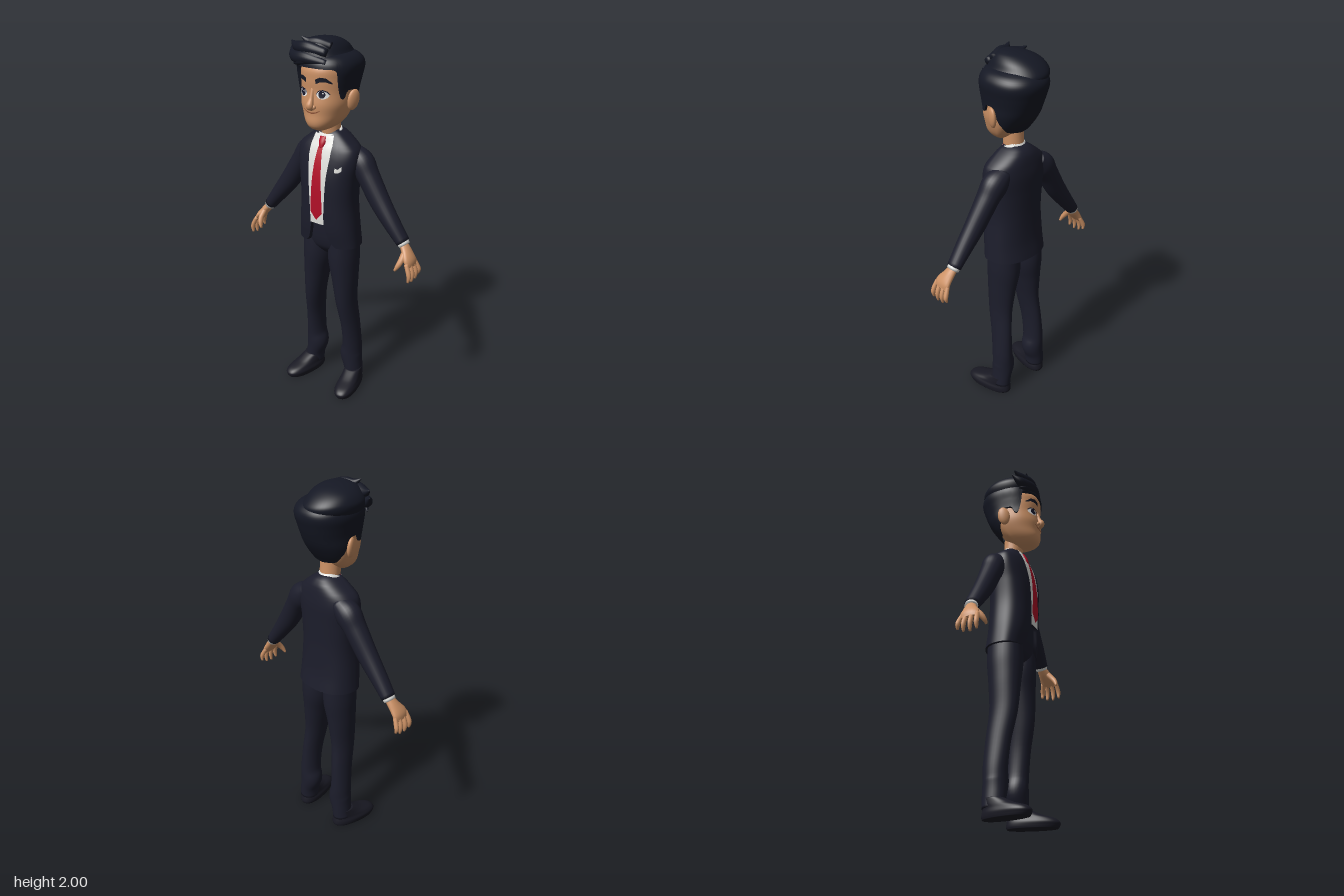
import * as THREE from 'three';

const mat = (name, color) => Object.assign(new THREE.MeshStandardMaterial({ color }), { name });
const M = {
  suit: mat('navy suit', 0x1c1d2b), hair: mat('dark hair', 0x151824), shoe: mat('dark leather', 0x191923),
  skin: mat('skin', 0xcd9266), shirt: mat('white cotton', 0xe0e0dc), tie: mat('red silk', 0xb30f28),
  eye: mat('eye white', 0xf0f0ee), iris: mat('dark iris', 0x17182c), lip: mat('lip line', 0x8f5539),
};

// Joins rows of points into a smooth skin; closed rows wrap round, caps fill the ends
function skin(rows, closed, caps = [false, false]) {
  const n = rows[0].length, pos = rows.flat(2), idx = [];
  for (let j = 0; j < rows.length - 1; j++)
    for (let i = 0; i < (closed ? n : n - 1); i++) {
      const a = j * n + i, b = j * n + (i + 1) % n;
      idx.push(a, a + n, b, b, a + n, b + n);
    }
  caps.forEach((on, k) => {
    if (!on) return;
    const row = rows[k ? rows.length - 1 : 0], c = pos.length / 3, base = k ? (rows.length - 1) * n : 0;
    for (let q = 0; q < 3; q++) pos.push(row.reduce((s, p) => s + p[q], 0) / n);
    for (let i = 0; i < n; i++) {
      const a = base + i, b = base + (i + 1) % n;
      idx.push(...(k ? [a, c, b] : [a, b, c]));
    }
  });
  const g = new THREE.BufferGeometry();
  g.setAttribute('position', new THREE.Float32BufferAttribute(pos, 3));
  g.setIndex(idx);
  g.computeVertexNormals();
  return g;
}

function add(parent, name, geometry, material) {
  const m = new THREE.Mesh(geometry, material);
  m.name = name;
  parent.add(m);
  return m;
}

// Upright body from rings [y, halfWidth, zFront, zBack, zWidest, xCentre]
function body(rings, e) {
  const R = rings.map(r => [...r, 0, 0].slice(0, 6));
  const slope = (i, k) => {
    const a = R[Math.max(i - 1, 0)], b = R[Math.min(i + 1, R.length - 1)];
    return (b[k] - a[k]) / (b[0] - a[0]);
  };
  const at = y => {
    let i = 0;
    while (i < R.length - 2 && y > R[i + 1][0]) i++;
    const h = R[i + 1][0] - R[i][0], t = Math.min(1, Math.max(0, (y - R[i][0]) / h)), t2 = t * t, t3 = t2 * t;
    return [1, 2, 3, 4, 5].map(k => (2 * t3 - 3 * t2 + 1) * R[i][k] + (t3 - 2 * t2 + t) * h * slope(i, k)
      + (3 * t2 - 2 * t3) * R[i + 1][k] + (t3 - t2) * h * slope(i + 1, k));
  };
  const pw = v => Math.sign(v) * Math.abs(v) ** e;
  const point = (a, y, s = 1) => {
    const [w, zf, zb, zc, cx] = at(y), v = pw(Math.sin(a));
    return [cx + s * w * pw(Math.cos(a)), y, zc + s * v * (v > 0 ? zf - zc : zc - zb)];
  };
  const frontZ = (x, y) => {
    const [w, zf, , zc, cx] = at(y), u = Math.min(1, Math.abs((x - cx) / w));
    return zc + (zf - zc) * (1 - u ** (2 / e)) ** (e / 2);
  };
  // hem(angle) gives an uneven lower edge with a turned-in lip
  const geometry = (hem, n = 48, m = 36) => {
    const ang = Array.from({ length: n }, (_, i) => i / n * Math.PI * 2), y0 = R[0][0], y1 = R[R.length - 1][0];
    const rows = [];
    if (hem) rows.push(ang.map(a => point(a, hem(a), 0.86)), ang.map(a => point(a, hem(a))));
    for (let j = 0; j <= m; j++)
      rows.push(ang.map(a => { const b = hem ? hem(a) : y0; return point(a, b + (y1 - b) * j / m); }));
    return skin(rows, true, [!hem, true]);
  };
  return { geometry, frontZ };
}

// Tapered limb through points [x, y, z, radius, radiusTowardsZ]
function limb(points, n = 16, m = 24) {
  const P = new THREE.CatmullRomCurve3(points.map(p => new THREE.Vector3(p[0], p[1], p[2])), false, 'catmullrom');
  const Q = new THREE.CatmullRomCurve3(points.map(p => new THREE.Vector3(p[3], p[4] ?? p[3], 0)), false, 'catmullrom');
  const rows = [];
  for (let j = 0; j <= m; j++) {
    const c = P.getPoint(j / m), r = Q.getPoint(j / m), t = P.getTangent(j / m);
    const nz = new THREE.Vector3(0, 0, 1).addScaledVector(t, -t.z).normalize(), b = t.clone().cross(nz);
    rows.push(Array.from({ length: n }, (_, i) => {
      const a = i / n * Math.PI * 2;
      return c.clone().addScaledVector(b, Math.cos(a) * r.x).addScaledVector(nz, Math.sin(a) * r.y).toArray();
    }));
  }
  return skin(rows, true, [true, true]);
}

// Thin plate between two outlines [x, y], laid over the front of a body and facing forward
function patch(surface, A, B, off, m = 8) {
  const area = THREE.ShapeUtils.area([...A, ...[...B].reverse()].map(p => new THREE.Vector2(p[0], p[1])));
  if (area < 0) [A, B] = [B, A];
  const rows = [], steps = 4;
  for (let i = 0; i < A.length - 1; i++)
    for (let k = i ? 1 : 0; k <= steps; k++) {
      const mix = (L, q) => L[i][q] + (L[i + 1][q] - L[i][q]) * k / steps;
      rows.push(Array.from({ length: m + 1 }, (_, j) => {
        const f = j / m, x = mix(A, 0) * (1 - f) + mix(B, 0) * f, y = mix(A, 1) * (1 - f) + mix(B, 1) * f;
        return [x, y, surface.frontZ(x, y) + off];
      }));
    }
  return skin(rows, false);
}
const disc = (s, x, y, rx, ry, off) => {
  const arc = k => Array.from({ length: 9 }, (_, i) =>
    [x - rx * Math.cos(i / 8 * Math.PI), y + k * ry * Math.sin(i / 8 * Math.PI)]);
  return patch(s, arc(1), arc(-1), off);
};
const band = (s, rows, off) => patch(s, rows.map(r => [-r[1], r[0]]), rows.map(r => [r[1], r[0]]), off);
const table = (T, v) => {
  let i = 0;
  while (i < T.length - 2 && v > T[i + 1][0]) i++;
  return THREE.MathUtils.mapLinear(Math.min(v, T[T.length - 1][0]), T[i][0], T[i + 1][0], T[i][1], T[i + 1][1]);
};

export function createModel() {
  const g = new THREE.Group();
  g.name = 'man in suit';

  // Jacket with cutaway front
  const jacket = body([[0.9, .18, .095, -.14], [1, .172, .113, -.126], [1.15, .16, .118, -.12], [1.28, .168, .114, -.122],
    [1.38, .182, .097, -.124], [1.44, .17, .078, -.118], [1.475, .13, .06, -.112], [1.505, .09, .045, -.1], [1.53, .05, .02, -.07]], 0.85);
  const hem = a => Math.sin(a) <= 0 ? 0.9
    : table([[0, 1.04], [.04, 1.04], [.055, .97], [.07, .925], [.095, .9], [1, .9]], .175 * Math.abs(Math.cos(a)) ** 0.85);
  add(g, 'jacket', jacket.geometry(hem, 96), M.suit);
  add(g, 'trouserSeat', body([[.81, .02, 0, -.03], [.84, .07, .04, -.07], [.89, .15, .076, -.114],
    [1, .155, .092, -.11], [1.1, .14, .09, -.1]], 0.9).geometry(), M.suit);

  // Shirt front, tie, collar and pocket square
  add(g, 'shirtFront', band(jacket, [[1.035, .042], [1.1, .043], [1.2, .049], [1.3, .056], [1.4, .066], [1.46, .066], [1.505, .055]], .004), M.shirt);
  add(g, 'tie', band(jacket, [[1.06, .003], [1.1, .037], [1.2, .033], [1.35, .023], [1.45, .013]], .008), M.tie);
  add(g, 'tieKnot', limb([[0, 1.44, .077, .012, .01], [0, 1.465, .067, .02, .014], [0, 1.495, .053, .022, .012]]), M.tie);
  add(g, 'shirtCollar', limb([[0, 1.475, -.02, .076, .07], [0, 1.525, 0, .061, .058]], 32, 6), M.shirt);
  add(g, 'pocketSquare', patch(jacket, [[.098, 1.335], [.1, 1.358], [.115, 1.352], [.132, 1.368]],
    [[.105, 1.332], [.118, 1.334], [.124, 1.336], [.134, 1.345]], .009), M.shirt);

  // Head and neck
  const head = body([[1.542, .03, .11, .03, .07], [1.556, .06, .138, .01, .05], [1.585, .09, .153, -.03, .02], [1.63, .114, .153, -.06],
    [1.68, .128, .156, -.09], [1.74, .129, .149, -.12], [1.8, .128, .153, -.13], [1.86, .122, .147, -.13], [1.91, .08, .09, -.09]], 0.9);
  add(g, 'head', head.geometry(), M.skin);
  add(g, 'neck', limb([[0, 1.44, -.02, .054], [0, 1.52, -.008, .053], [0, 1.63, 0, .055]], 24), M.skin);
  add(g, 'nose', limb([[0, 1.76, .142, .009], [0, 1.71, .155, .012, .013], [0, 1.678, .168, .019, .019], [0, 1.658, .152, .013, .009]]), M.skin);
  add(g, 'mouth', patch(head, [[-.048, 1.657], [-.025, 1.647], [0, 1.644], [.025, 1.647], [.048, 1.657]],
    [[-.048, 1.655], [-.025, 1.641], [0, 1.637], [.025, 1.641], [.048, 1.655]], .004, 2), M.lip);

  // Hair: cap with hairline and sideburns, swept top and loose tufts
  const hairline = [[0, 1.86], [.7, 1.858], [.88, 1.845], [1, 1.76], [1.1, 1.715], [1.22, 1.705], [1.33, 1.75], [1.6, 1.75], [1.8, 1.67], [2.2, 1.615], [3.15, 1.6]];
  const cap = body([[1.58, .085, .1, -.05], [1.61, .1, .13, -.07], [1.65, .122, .155, -.1], [1.7, .137, .166, -.132], [1.75, .141, .164, -.155],
    [1.8, .15, .163, -.173], [1.85, .159, .158, -.186], [1.885, .15, .15, -.176], [1.912, .12, .125, -.14], [1.925, .07, .08, -.09]], 0.9);
  add(g, 'hairCap', cap.geometry(a => table(hairline, Math.acos(Math.min(1, Math.max(-1, Math.sin(a))))), 96), M.hair);
  add(g, 'hairTop', body([[1.85, .13, .135, -.15, 0, -.02], [1.89, .14, .152, -.172, 0, -.025], [1.92, .13, .15, -.158, 0, -.034],
    [1.955, .108, .134, -.115, 0, -.03], [1.98, .072, .105, -.06, .02, -.02], [1.992, .03, .07, 0, .03, -.01]], 0.95).geometry(), M.hair);
  [
    [[.07, 1.885, .125, .015], [-.04, 1.9, .135, .03], [-.13, 1.897, .108, .03], [-.185, 1.93, .07, .003]],
    [[.06, 1.93, .11, .02], [-.04, 1.945, .118, .032], [-.12, 1.942, .1, .026], [-.175, 1.962, .08, .003]],
    [[.06, 1.955, .07, .02], [0, 1.97, .09, .024], [-.05, 1.972, .1, .02], [-.085, 1.994, .115, .003]],
    [[.03, 1.9, .13, .015], [-.05, 1.888, .14, .02], [-.11, 1.872, .122, .016], [-.15, 1.855, .095, .003]],
  ].forEach(t => add(g, 'hairTuft', limb(t), M.hair));

  for (const s of [1, -1]) {
    const side = s > 0 ? 'left' : 'right';
    const mir = L => L.map(p => [p[0] * s, ...p.slice(1)]);

    // Face details
    add(g, side + 'EyeWhite', disc(head, s * .057, 1.735, .029, .021, .003), M.eye);
    add(g, side + 'Iris', disc(head, s * .055, 1.736, .016, .018, .005), M.iris);
    add(g, side + 'EyeGlint', disc(head, s * .055 + .006, 1.743, .004, .004, .007), M.eye);
    add(g, side + 'UpperLid', patch(head, mir([[.026, 1.738], [.04, 1.755], [.06, 1.76], [.078, 1.753], [.09, 1.739]]),
      mir([[.028, 1.736], [.04, 1.75], [.06, 1.755], [.077, 1.748], [.086, 1.737]]), .006, 2), M.iris);
    add(g, side + 'Eyebrow', patch(head, mir([[.027, 1.809], [.05, 1.82], [.075, 1.817], [.098, 1.793]]),
      mir([[.028, 1.787], [.05, 1.797], [.075, 1.798], [.097, 1.787]]), .007, 4), M.hair);
    const ear = add(g, side + 'Ear', new THREE.SphereGeometry(1, 20, 14), M.skin);
    ear.scale.set(.017, .054, .034);
    ear.position.set(s * .14, 1.696, -.002);
    ear.rotation.set(-.15, s * -.35, s * -.15);
    const nostril = add(g, side + 'Nostril', new THREE.SphereGeometry(.011, 12, 8), M.skin);
    nostril.position.set(s * .017, 1.672, .158);

    // Lapel and collar flap
    add(g, side + 'Lapel', patch(jacket, mir([[.044, 1.08], [.05, 1.2], [.056, 1.3], [.066, 1.4], [.066, 1.46], [.058, 1.5]]),
      mir([[.046, 1.08], [.075, 1.2], [.1, 1.3], [.122, 1.385], [.1, 1.45], [.075, 1.5]]), .007), M.suit);
    add(g, side + 'CollarFlap', patch(jacket, mir([[.012, 1.502], [.025, 1.47], [.042, 1.435]]),
      mir([[.056, 1.508], [.06, 1.475], [.044, 1.435]]), .009), M.shirt);

    // Arm and shirt cuff
    add(g, side + 'Sleeve', limb(mir([[.11, 1.415, -.045, .045, .055], [.165, 1.365, -.044, .07, .066], [.215, 1.298, -.04, .06, .06],
      [.29, 1.183, -.034, .056, .052], [.37, 1.08, -.03, .045, .046], [.44, .993, -.03, .034, .04]]), 24, 32), M.suit);
    add(g, side + 'Cuff', limb(mir([[.43, 1.005, -.03, .03, .036], [.45, .979, -.029, .029, .034]]), 20, 4), M.shirt);

    // Hand
    add(g, side + 'Palm', limb(mir([[.44, .99, -.03, .02, .026], [.47, .953, -.02, .022, .036], [.498, .915, -.008, .019, .05],
      [.512, .885, -.004, .01, .045]])), M.skin);
    [[-.056, .02], [-.025, .004], [.01, 0], [.044, .008]].forEach(([z, up], i) =>
      add(g, side + 'Finger' + (i + 1), limb(mir([[.5, .91, z * .8, .011], [.519, .87, z * .95, .0125], [.525, .84 + up / 2, z, .0115],
        [.521, .808 + up, z * 1.03, .006]]), 10, 12), M.skin));
    add(g, side + 'Thumb', limb(mir([[.468, .957, -.005, .016], [.468, .92, .03, .016], [.46, .893, .05, .013], [.448, .868, .06, .006]]), 10, 12), M.skin);

    // Leg and shoe
    add(g, side + 'TrouserLeg', limb(mir([[.085, .95, -.015, .075, .094], [.083, .82, -.015, .082, .098], [.094, .7, -.012, .068, .088],
      [.106, .55, -.012, .052, .077], [.12, .4, -.032, .046, .068], [.126, .26, -.044, .051, .064], [.12, .185, -.045, .062, .064],
      [.134, .11, -.045, .051, .061], [.14, .05, -.045, .05, .058]]), 28, 40), M.suit);
    const shoe = add(g, side + 'Shoe', body([[0, .055, .2, -.062, .07], [.012, .058, .208, -.066, .07], [.03, .06, .21, -.064, .08],
      [.05, .054, .185, -.06, .07], [.07, .05, .12, -.06, .03], [.1, .046, .055, -.058, 0]], 0.85).geometry(), M.shoe);
    shoe.position.set(s * .142, 0, -.04);
    shoe.rotation.y = s * .2;
  }
  return g;
}
